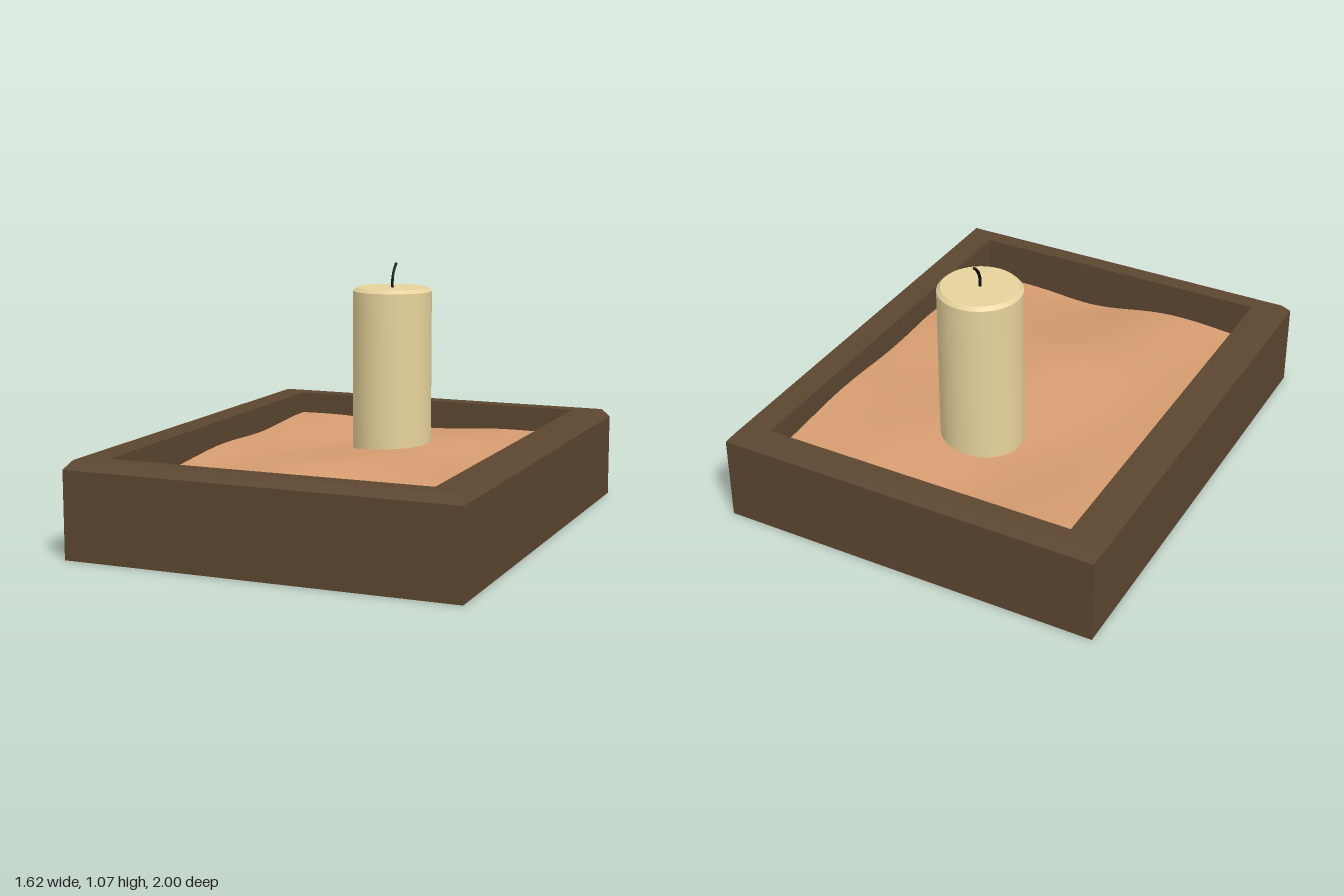
import * as THREE from 'three';
import { toCreasedNormals } from 'three/addons/utils/BufferGeometryUtils.js';

const wood = new THREE.MeshStandardMaterial({ color: 0x5c4630 });
const sandColor = new THREE.MeshStandardMaterial({ color: 0xd69c70 });
const wax = new THREE.MeshStandardMaterial({ color: 0xe6d29c });
const char = new THREE.MeshStandardMaterial({ color: 0x0c0c14 });

function addMesh(parent, name, geometry, material) {
  const mesh = new THREE.Mesh(geometry, material);
  mesh.name = name;
  parent.add(mesh);
  return mesh;
}

// Joins rectangular sections [halfX, y, halfZ] into flat-sided bands
function rectangularLoft(sections) {
  const positions = [];
  const corners = ([x, y, z]) => [[x, y, z], [x, y, -z], [-x, y, -z], [-x, y, z]];
  for (let s = 0; s < sections.length - 1; s++) {
    const low = corners(sections[s]);
    const high = corners(sections[s + 1]);
    for (let i = 0; i < 4; i++) {
      const j = (i + 1) % 4;
      positions.push(...low[i], ...low[j], ...high[j], ...low[i], ...high[j], ...high[i]);
    }
  }
  const geometry = new THREE.BufferGeometry();
  geometry.setAttribute('position', new THREE.Float32BufferAttribute(positions, 3));
  geometry.computeVertexNormals();
  return geometry;
}

// Gentle dunes that sink towards the front wall
function sandHeight(x, z) {
  const dip = THREE.MathUtils.smoothstep(z, 0.25, 0.95);
  const hollow = Math.exp(-((x - 0.12) ** 2 / 0.06 + (z - 0.92) ** 2 / 0.02));
  return 0.282 - 0.065 * dip - 0.025 * hollow
    + 0.011 * Math.sin(4.2 * x + 2.4 * z + 0.8)
    + 0.008 * Math.sin(7.5 * z - 2.6 * x)
    + 0.006 * Math.cos(9 * x + 3 * z);
}

export function createModel() {
  const model = new THREE.Group();

  // Tray: outer walls, bevelled rim, flat rim, inner walls
  const tray = new THREE.Group();
  tray.name = 'tray';
  model.add(tray);
  addMesh(tray, 'trayWalls', rectangularLoft([
    [0.81, 0, 1], [0.81, 0.355, 1], [0.78, 0.39, 0.97],
    [0.665, 0.39, 0.895], [0.665, 0.06, 0.895],
  ]), wood);
  const floor = addMesh(tray, 'trayFloor', new THREE.BoxGeometry(1.62, 0.06, 2), wood);
  floor.position.y = 0.03;
  floor.scale.set(0.999, 1, 0.999);

  // Rippled sand bed
  const bed = new THREE.PlaneGeometry(1.33, 1.79, 48, 64).rotateX(-Math.PI / 2);
  const p = bed.attributes.position;
  for (let i = 0; i < p.count; i++) p.setY(i, sandHeight(p.getX(i), p.getZ(i)));
  bed.computeVertexNormals();
  addMesh(model, 'sand', bed, sandColor);

  // Candle with a bevelled shoulder, pushed into the sand
  const candle = new THREE.Group();
  candle.name = 'candle';
  candle.position.z = -0.37;
  model.add(candle);
  const profile = [[0, 0.15], [0.17, 0.15], [0.17, 0.95], [0.155, 0.965], [0, 0.965]]
    .map(([r, y]) => new THREE.Vector2(r, y));
  addMesh(candle, 'candleBody', toCreasedNormals(new THREE.LatheGeometry(profile, 48), 0.5), wax);

  // Wick bending to the back, with a capped tip
  const wickPath = new THREE.CatmullRomCurve3([
    [0.95, 0], [1.0, 0], [1.035, -0.015], [1.065, -0.042],
  ].map(([y, z]) => new THREE.Vector3(0, y, z)));
  addMesh(candle, 'wick', new THREE.TubeGeometry(wickPath, 16, 0.006, 8), char);
  const tip = addMesh(candle, 'wickTip', new THREE.SphereGeometry(0.006, 8, 6), char);
  tip.position.copy(wickPath.getPoint(1)).y -= 0.002;

  return model;
}
